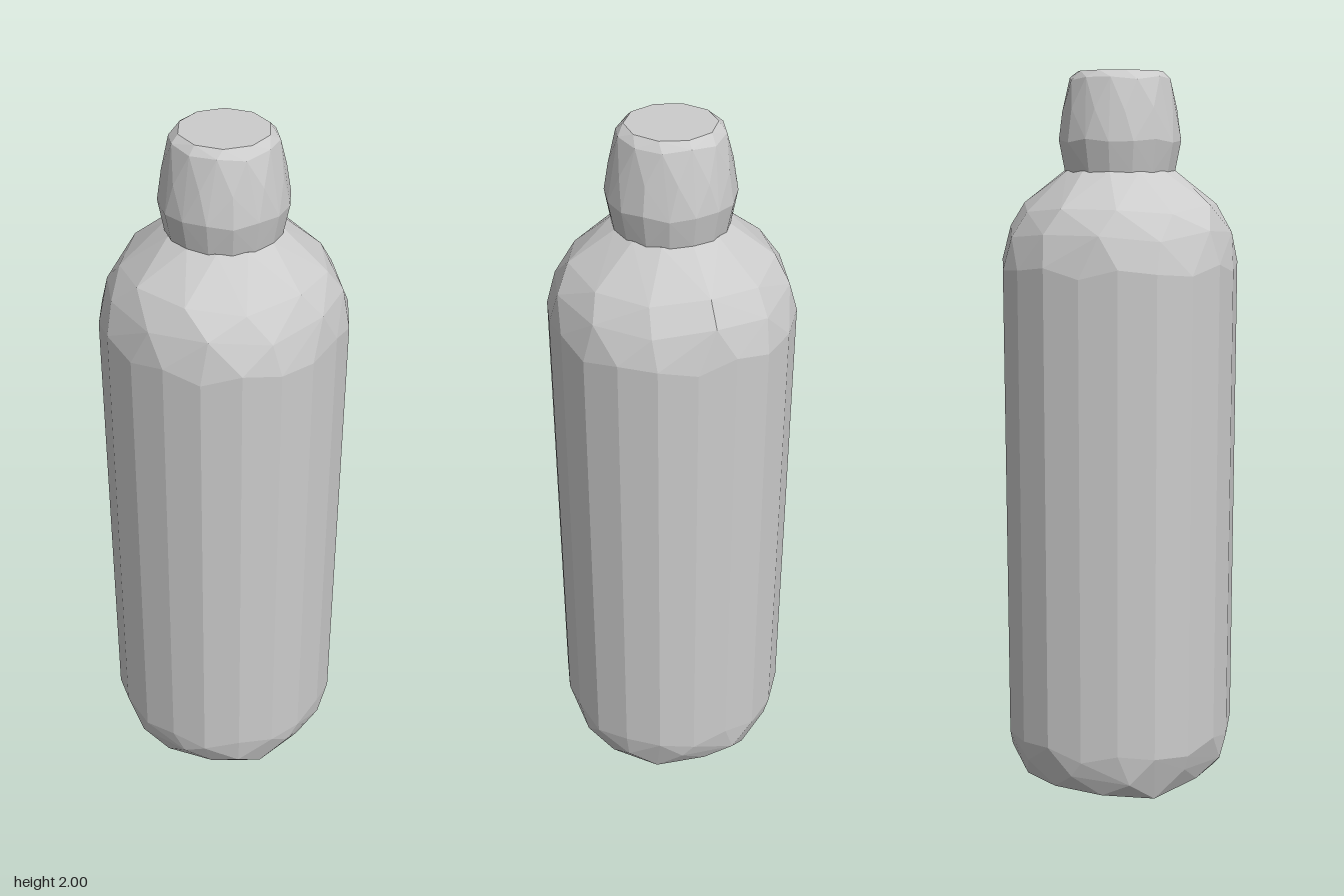
import * as THREE from 'three';
import { ConvexGeometry } from 'three/addons/geometries/ConvexGeometry.js';

const material = new THREE.MeshStandardMaterial({ color: 0xcccccc, flatShading: true });

// Faceted round solid: each ring is [radius, y, sides, turn in steps, height wobble].
function facetedSolid(name, rings, limit) {
  const points = [];
  for (const [radius, y, sides, turn, wobble] of rings) {
    for (let i = 0; i < sides; i++) {
      const a = ((i + turn) / sides) * Math.PI * 2;
      points.push(new THREE.Vector3(
        THREE.MathUtils.clamp(Math.sin(a) * radius, -limit, limit),
        y + wobble * Math.sin(i * 2.4 + turn * 5),
        THREE.MathUtils.clamp(Math.cos(a) * radius, -limit, limit)
      ));
    }
  }
  const mesh = new THREE.Mesh(new ConvexGeometry(points), material);
  mesh.name = name;
  return mesh;
}

export function createModel() {
  const group = new THREE.Group();
  group.name = 'bottle';

  // Body: rounded base, straight wall, sloping shoulder
  group.add(facetedSolid('body', [
    [0.165, 0.003, 10, 0.5, 0.003],
    [0.28, 0.055, 12, 0, 0.012],
    [0.312, 0.115, 12, 0.5, 0.012],
    [0.326, 0.18, 20, 0.5, 0.015],
    [0.326, 1.49, 20, 0.5, 0.015],
    [0.305, 1.58, 12, 0, 0.012],
    [0.265, 1.645, 11, 0.5, 0.01],
    [0.15, 1.742, 12, 0, 0],
  ], 0.316));

  // Cap: flares just above its rim, then tapers to a bevelled top
  group.add(facetedSolid('cap', [
    [0.15, 1.738, 16, 0, 0],
    [0.166, 1.82, 16, 0, 0.005],
    [0.154, 1.9, 12, 0.5, 0.005],
    [0.136, 1.98, 12, 0, 0.005],
    [0.115, 2.0, 10, 0, 0],
  ], 0.166));

  return group;
}
